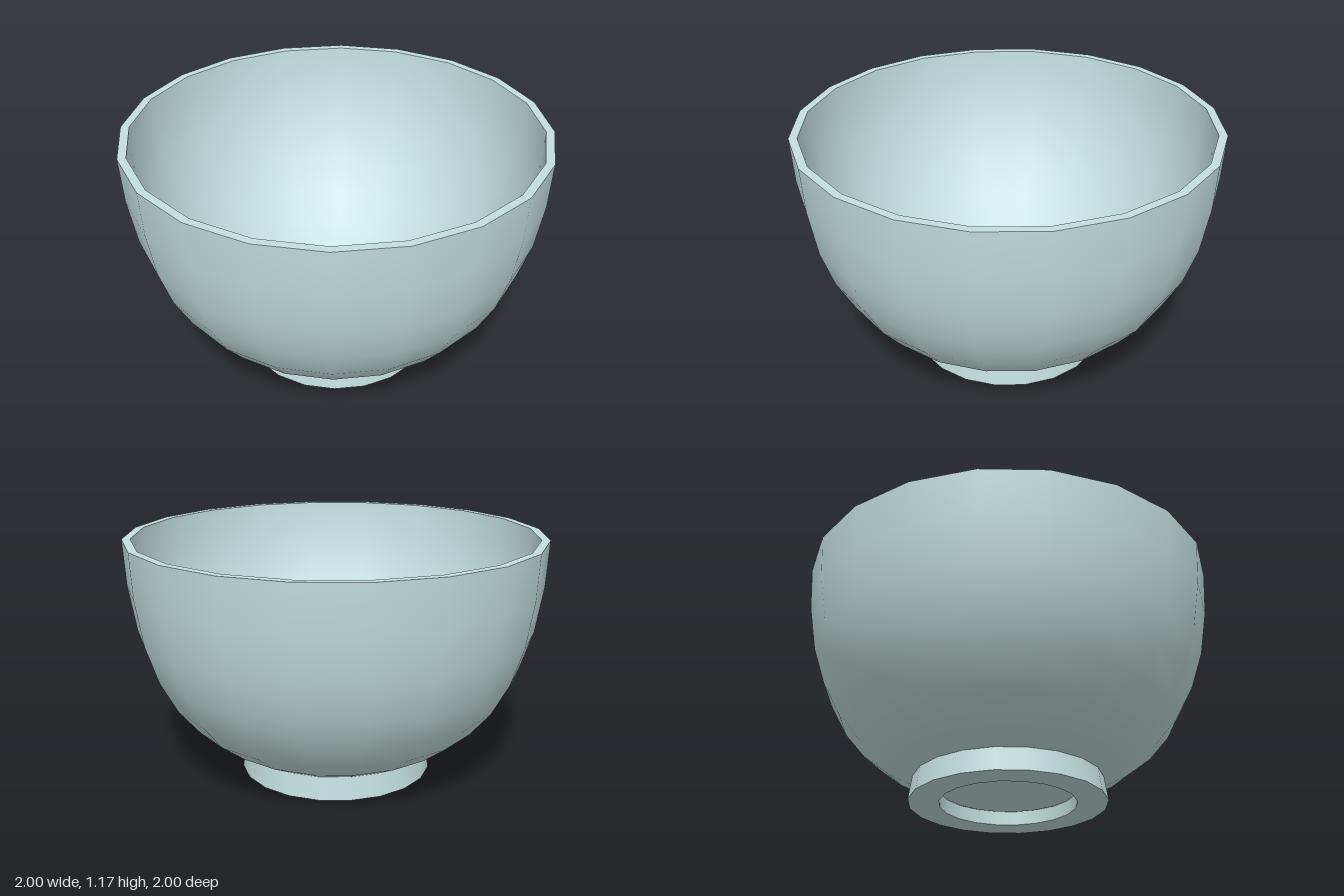
import * as THREE from 'three';

const SIDES = 20;

export function createModel() {
  const group = new THREE.Group();
  group.name = 'bowl';
  const glaze = new THREE.MeshStandardMaterial({ color: 0xc3dfde });
  glaze.name = 'pale teal glaze';

  // Each smooth band is its own lathe, so the edges between bands stay sharp
  const band = (name, points) => {
    const geometry = new THREE.LatheGeometry(points.map(([r, y]) => new THREE.Vector2(r, y)), SIDES);
    const mesh = new THREE.Mesh(geometry, glaze);
    mesh.name = name;
    group.add(mesh);
  };

  // Rounded bowl wall, from the centre of the underside up to the rim
  const outer = [
    [0, 0.03], [0.15, 0.036], [0.3, 0.06], [0.45, 0.11], [0.59, 0.183], [0.71, 0.275],
    [0.81, 0.395], [0.893, 0.55], [0.952, 0.73], [0.988, 0.95], [1, 1.168],
  ];
  // Hollow: a deep rounded curve, so the wall thickens below the rim
  const inner = [];
  for (let i = 0; i <= 10; i++) {
    const a = (i / 10) * Math.PI / 2;
    inner.push([0.96 * Math.cos(a), 1.168 - 1.07 * Math.sin(a) ** 1.1]);
  }

  band('outerWall', outer);
  band('rim', [[1, 1.168], [0.96, 1.168]]);
  band('innerWall', inner);

  // Flared foot ring, hollow underneath
  band('footOuterWall', [[0.47, 0], [0.453, 0.112]]);
  band('footBase', [[0.325, 0], [0.47, 0]]);
  band('footInnerWall', [[0.325, 0.075], [0.325, 0]]);

  return group;
}
